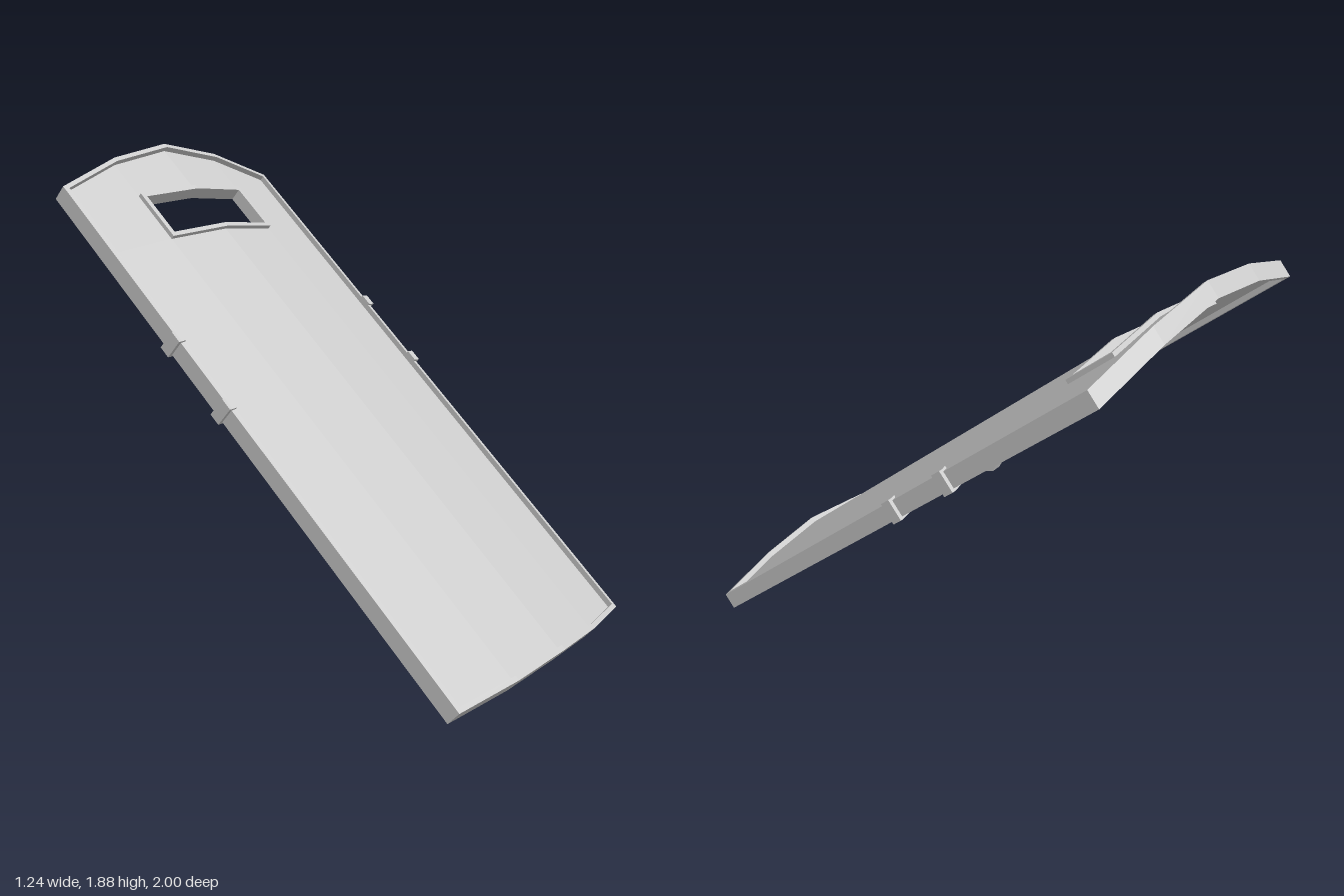
import * as THREE from 'three';

const material = new THREE.MeshStandardMaterial({ color: 0xcccccc, flatShading: true });
const HALF = 0.605, RIM = 0.02;
const FOLDS = [0, 0.3, HALF];

// Value by distance from the centre line, straight between the folds
const profile = (a, b, c) => (x) => {
  const d = Math.min(Math.abs(x), HALF);
  return d < 0.3
    ? THREE.MathUtils.mapLinear(d, 0, 0.3, a, b)
    : THREE.MathUtils.mapLinear(d, 0.3, HALF, b, c);
};
const bulge = profile(0.084, 0.055, 0);
const bottom = profile(-0.03, -0.025, 0);
const top = profile(2.615, 2.574, 2.484);
const at = (v) => () => v;

// Box from x0 to x1, folded along the shield's curve; lo/hi are its edges, back/front its depth
function bentBox(name, x0, x1, lo, hi, back, front) {
  const folds = [...FOLDS.map((f) => -f), ...FOLDS.slice(1)].filter((f) => f > x0 + 1e-4 && f < x1 - 1e-4);
  const xs = [x0, ...folds, x1].sort((a, b) => a - b);
  const n = xs.length - 1;
  const geo = new THREE.BoxGeometry(1, 1, 1, n, 1, 1);
  const p = geo.attributes.position;
  for (let i = 0; i < p.count; i++) {
    const x = xs[Math.round((p.getX(i) + 0.5) * n)];
    p.setXYZ(i, x, p.getY(i) < 0 ? lo(x) : hi(x), bulge(x) + (p.getZ(i) < 0 ? back : front));
  }
  geo.computeVertexNormals();
  const mesh = new THREE.Mesh(geo, material);
  mesh.name = name;
  return mesh;
}

// Half-octagon grip standing out behind the panel
function gripGeometry() {
  const shape = new THREE.Shape();
  const ring = (r, k) => [r * Math.cos((k * Math.PI) / 4), r * Math.sin((k * Math.PI) / 4)];
  shape.moveTo(...ring(0.132, 0));
  for (let k = 1; k <= 4; k++) shape.lineTo(...ring(0.132, k));
  for (let k = 4; k >= 0; k--) shape.lineTo(...ring(0.105, k));
  const geo = new THREE.ExtrudeGeometry(shape, { depth: 0.04, bevelEnabled: false });
  geo.translate(0, 0, -0.02);
  return geo.applyMatrix4(new THREE.Matrix4().makeBasis(
    new THREE.Vector3(0, 1, 0), new THREE.Vector3(0, 0, -1), new THREE.Vector3(-1, 0, 0)));
}

export function createModel() {
  const model = new THREE.Group();
  model.name = 'shield';
  const body = new THREE.Group();
  body.name = 'leaningShield';
  body.rotation.x = -0.8285;
  body.position.z = 0.87;
  model.add(body);

  const inX = HALF - RIM;
  const winLo = 2.137, winHi = 2.375, winX = 0.3;

  // Panel around the window opening
  const panel = (name, x0, x1, lo, hi) => body.add(bentBox(name, x0, x1, lo, hi, 0.02, 0.045));
  panel('lowerPanel', -inX, inX, (x) => bottom(x) + RIM, at(winLo));
  panel('upperPanel', -inX, inX, at(winHi), (x) => top(x) - RIM);
  panel('rightWindowPanel', -inX, -winX, at(winLo), at(winHi));
  panel('leftWindowPanel', winX, inX, at(winLo), at(winHi));

  // Raised rim
  const rim = (name, x0, x1, lo, hi) => body.add(bentBox(name, x0, x1, lo, hi, 0, 0.068));
  rim('bottomRim', -HALF, HALF, bottom, (x) => bottom(x) + RIM);
  rim('topRim', -HALF, HALF, (x) => top(x) - RIM, top);
  rim('rightRim', -HALF, -inX, (x) => bottom(x) + RIM, (x) => top(x) - RIM);
  rim('leftRim', inX, HALF, (x) => bottom(x) + RIM, (x) => top(x) - RIM);

  // Window frame
  const frame = (name, x0, x1, lo, hi) => body.add(bentBox(name, x0, x1, at(lo), at(hi), 0.005, 0.062));
  frame('windowSill', -winX, winX, winLo, winLo + RIM);
  frame('windowHead', -winX, winX, winHi - RIM, winHi);
  frame('rightWindowJamb', -winX, -winX + RIM, winLo + RIM, winHi - RIM);
  frame('leftWindowJamb', winX - RIM, winX, winLo + RIM, winHi - RIM);

  // Back straps with clips hooked over the side rims
  for (const v of [1.36, 1.69]) {
    const lo = at(v - 0.025), hi = at(v + 0.025);
    body.add(bentBox('strap', -0.62, 0.62, lo, hi, -0.01, 0.02));
    for (const s of [-1, 1]) {
      const span = (a, b) => (s > 0 ? [a, b] : [-b, -a]);
      body.add(bentBox('strapClip', ...span(HALF, 0.62), lo, hi, -0.01, 0.077));
      body.add(bentBox('strapClipLip', ...span(inX, HALF), lo, hi, 0.066, 0.077));
    }
  }

  // Two hand grips between the straps
  const grip = gripGeometry();
  for (const s of [-1, 1]) {
    const mesh = new THREE.Mesh(grip, material);
    mesh.name = s > 0 ? 'leftGrip' : 'rightGrip';
    mesh.position.set(s * 0.225, 1.525, 0.092);
    body.add(mesh);
  }
  return model;
}
